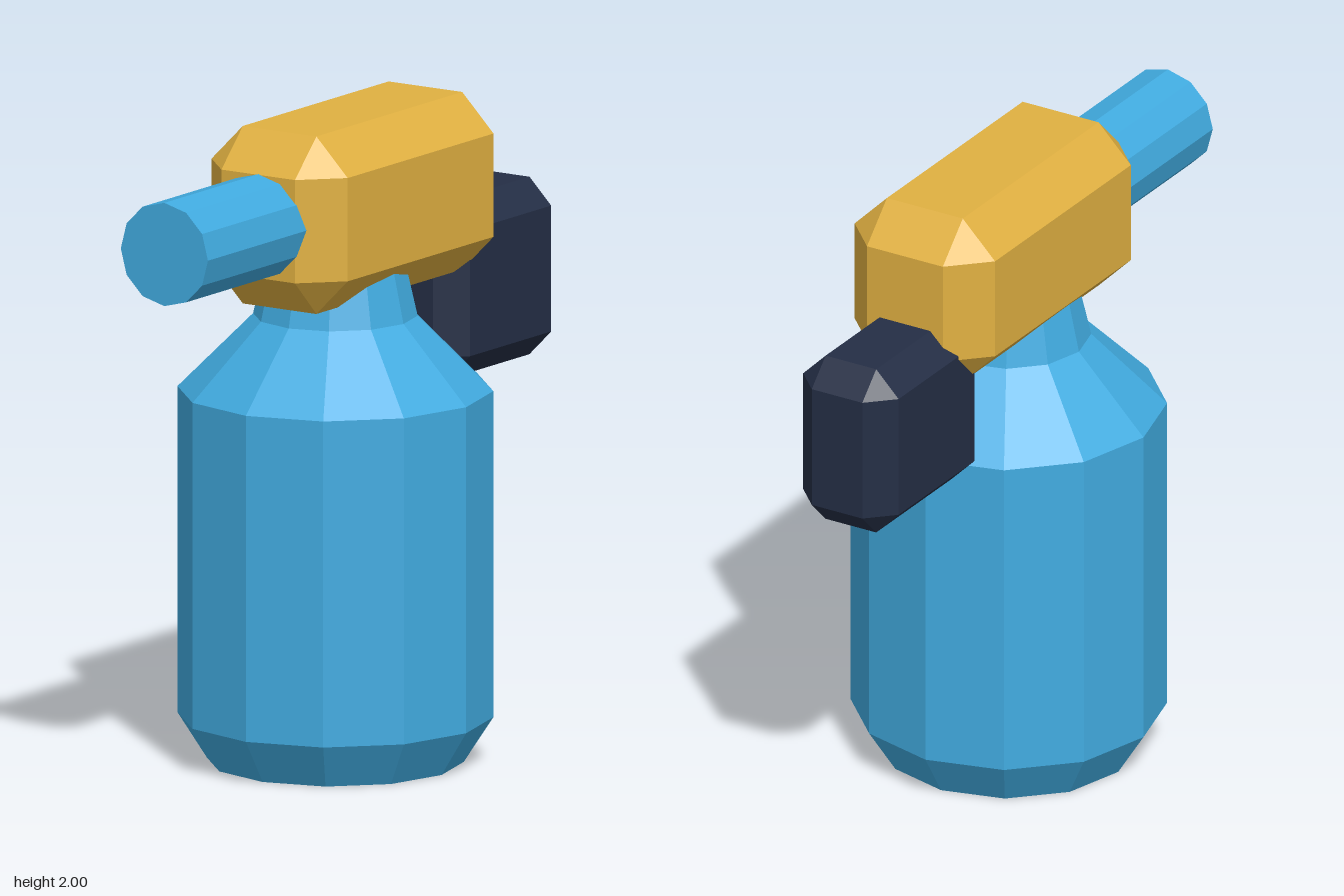
import * as THREE from 'three';
import { ConvexGeometry } from 'three/addons/geometries/ConvexGeometry.js';

// Box with every edge bevelled, given its min and max corners
function bevelledBox(min, max, bevel) {
  const half = min.map((v, i) => (max[i] - v) / 2);
  const mid = min.map((v, i) => (max[i] + v) / 2);
  const points = [];
  for (const sx of [-1, 1]) for (const sy of [-1, 1]) for (const sz of [-1, 1]) {
    const sign = [sx, sy, sz];
    for (let axis = 0; axis < 3; axis++) {
      points.push(new THREE.Vector3(...sign.map((s, i) =>
        mid[i] + s * (half[i] - (i === axis ? 0 : bevel)))));
    }
  }
  return new ConvexGeometry(points);
}

export function createModel() {
  const group = new THREE.Group();
  const material = (name, color) => {
    const m = new THREE.MeshStandardMaterial({ color, flatShading: true });
    m.name = name;
    return m;
  };
  const blue = material('blue', 0x41abe0);
  const yellow = material('yellow', 0xe0b041);
  const navy = material('navy', 0x242e45);

  const add = (name, geometry, mat) => {
    const mesh = new THREE.Mesh(geometry, mat);
    mesh.name = name;
    group.add(mesh);
    return mesh;
  };

  // Twelve-sided tank with shoulder and tapering neck
  const profile = [[0, 0], [0.39, 0], [0.48, 0.14], [0.48, 1.15], [0.25, 1.38], [0.2, 1.6], [0, 1.6]]
    .map(([r, y]) => new THREE.Vector2(r, y));
  add('tank', new THREE.LatheGeometry(profile, 12), blue).position.z = 0.036;

  // Head block sitting on the neck
  add('head', bevelledBox([-0.25, 1.45, -0.562], [0.25, 2, 0.45], 0.115), yellow);

  // Nozzle pointing forward
  const nozzle = new THREE.CylinderGeometry(0.16, 0.16, 0.63, 12);
  nozzle.rotateX(Math.PI / 2);
  add('nozzle', nozzle, blue).position.set(0, 1.727, 0.638);

  // Grip block behind the head
  add('rearGrip', bevelledBox([-0.17, 1.107, -0.953], [0.17, 1.657, -0.357], 0.08), navy);

  return group;
}
